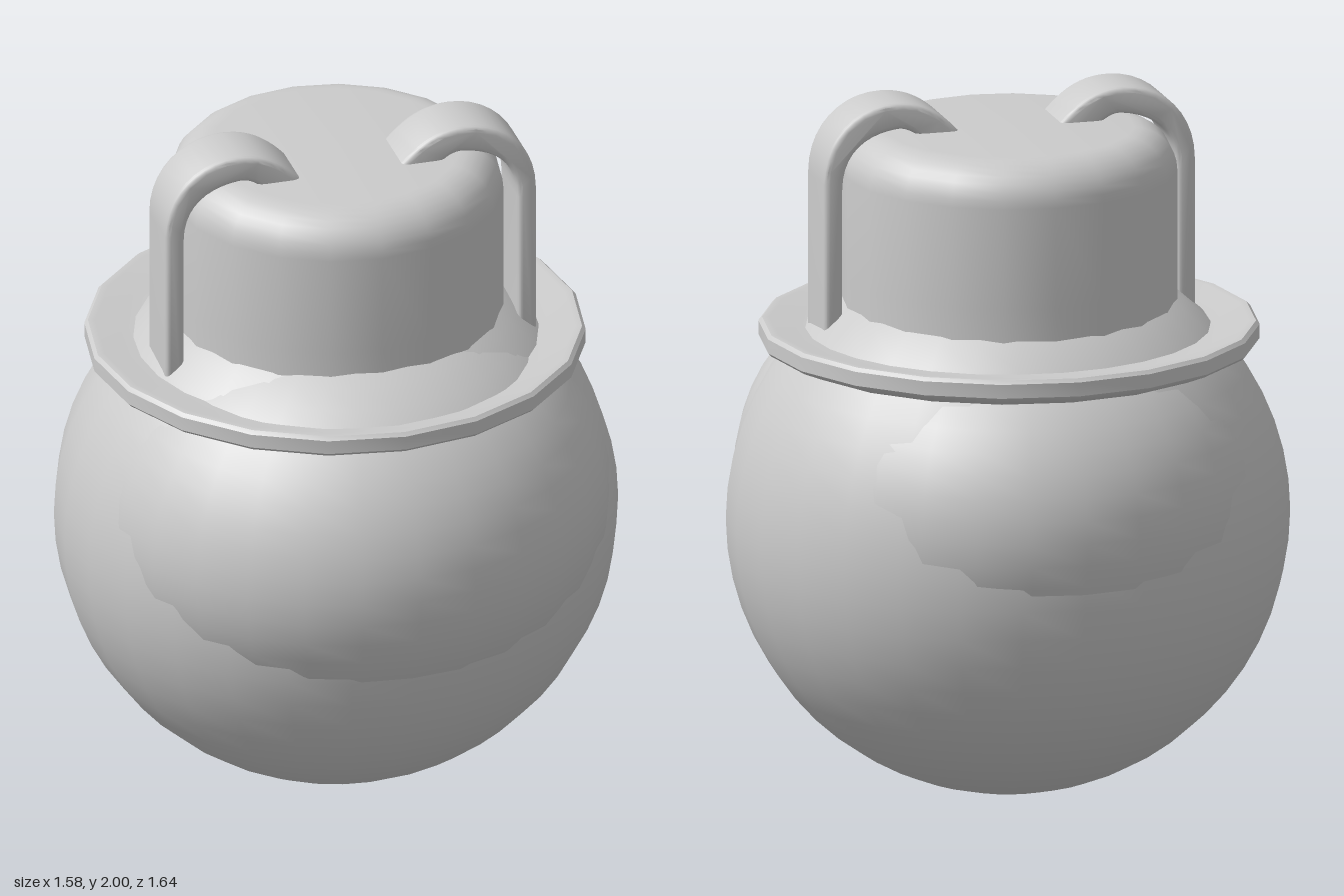
import * as THREE from 'three';
import { toCreasedNormals } from 'three/addons/utils/BufferGeometryUtils.js';

const AXIS_Z = -0.03; // brim and cap share this axis

export function createModel() {
  const model = new THREE.Group();
  const material = new THREE.MeshStandardMaterial({ color: 0xcccccc });

  const add = (name, geometry, x = 0, y = 0, z = 0) => {
    const mesh = new THREE.Mesh(geometry, material);
    mesh.name = name;
    mesh.position.set(x, y, z);
    model.add(mesh);
    return mesh;
  };

  const ellipsoid = (name, [x, y, z], [rx, ry, rz]) =>
    add(name, new THREE.SphereGeometry(1, 28, 28).scale(rx, ry, rz), x, y, z);

  const lathe = (name, profile, crease) => {
    const points = profile.map(([r, y]) => new THREE.Vector2(r, y));
    return add(name, toCreasedNormals(new THREE.LatheGeometry(points, 20), crease), 0, 0, AXIS_Z);
  };

  // Round body with a swelling at the front and a smaller one at the back
  ellipsoid('body', [0, 0.79, -0.02], [0.79, 0.785, 0.775]);
  ellipsoid('frontBulge', [0, 0.9, 0.1], [0.735, 0.605, 0.72]);
  ellipsoid('backBulge', [0, 0.9, -0.1], [0.7, 0.57, 0.72]);

  // Brim: thin ring with a chamfered underside and a slightly dished top
  lathe('brim', [
    [0.45, 1.27], [0.63, 1.27], [0.69, 1.295], [0.7, 1.305],
    [0.7, 1.345], [0.69, 1.355], [0.67, 1.355], [0.6, 1.335], [0.45, 1.335],
  ], 0.6);

  // Cap: drum with a rounded shoulder
  const capProfile = [[0.47, 1.25], [0.47, 1.5]];
  for (let i = 0; i <= 8; i++) {
    const a = (i / 8) * Math.PI / 2;
    capProfile.push([0.35 + 0.12 * Math.cos(a), 1.79 + 0.12 * Math.sin(a)]);
  }
  capProfile.push([0, 1.91]);
  lathe('cap', capProfile, 0.7);

  // Straps: flat bands rising from the brim and curling into the cap top
  const bevel = 0.015;
  for (const side of [1, -1]) {
    const s = new THREE.Shape();
    s.moveTo(side * (0.54 - bevel), 1.3);
    s.lineTo(side * (0.54 - bevel), 1.78);
    s.bezierCurveTo(side * 0.525, 1.9, side * 0.44, 1.985, side * 0.33, 1.985);
    s.bezierCurveTo(side * 0.26, 1.985, side * 0.21, 1.955, side * 0.16, 1.9);
    s.lineTo(side * 0.16, 1.85);
    s.lineTo(side * 0.21, 1.86);
    s.bezierCurveTo(side * 0.25, 1.92, side * 0.29, 1.945, side * 0.33, 1.94);
    s.bezierCurveTo(side * 0.42, 1.93, side * 0.5, 1.88, side * 0.5, 1.76);
    s.lineTo(side * 0.5, 1.3);
    const geometry = new THREE.ExtrudeGeometry(s, {
      depth: 0.18 - 2 * bevel, curveSegments: 10,
      bevelSize: bevel, bevelThickness: bevel, bevelSegments: 3,
    });
    add(side > 0 ? 'leftStrap' : 'rightStrap', toCreasedNormals(geometry, 0.6), 0, 0, -0.045 + bevel);
  }

  return model;
}
